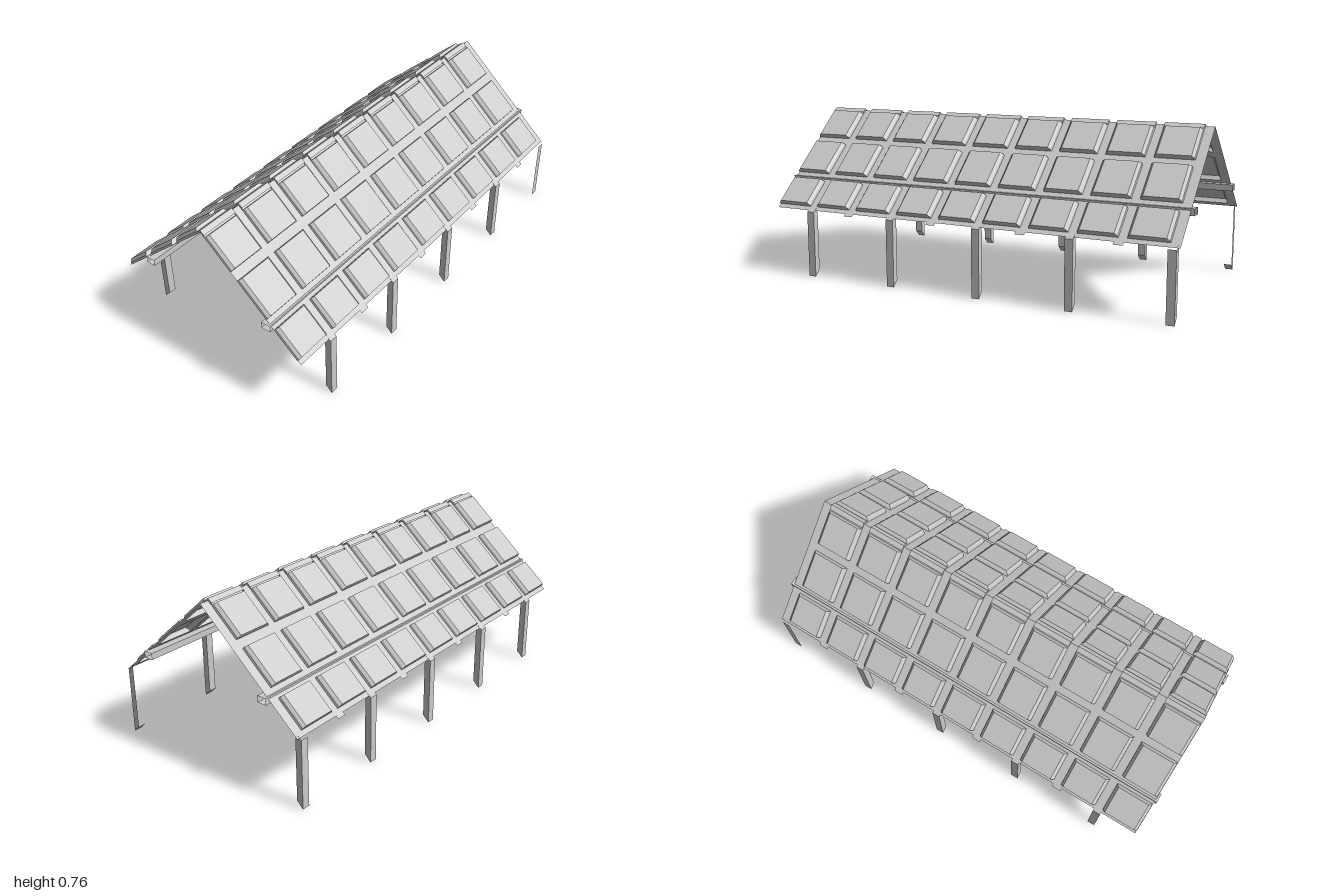
import * as THREE from 'three';

const grey = new THREE.MeshStandardMaterial({ color: 0xcccccc, flatShading: true, side: THREE.DoubleSide });
const oneSided = new THREE.MeshStandardMaterial({ color: 0xcccccc, flatShading: true });

const RIDGE_Y = 0.7475, SLOPE = 0.88;
const COS = 1 / Math.hypot(1, SLOPE), SIN = SLOPE * COS;
const COLUMNS = Array.from({ length: 9 }, (_, i) => 0.9 - 0.219 * i);   // panel centres in z
const ROWS = [[0.0266, 0.195], [0.2385, 0.4276], [0.478, 0.63]];        // panel spans down the slope
const POSTS = Array.from({ length: 5 }, (_, i) => 0.793 - 0.437 * i);

function add(parent, name, geometry, material = grey) {
  const mesh = new THREE.Mesh(geometry, material);
  mesh.name = name;
  parent.add(mesh);
  return mesh;
}

// Quads given as lists of four corners, counter-clockwise from the front
function quads(list) {
  const pos = [];
  for (const [a, b, c, d] of list) pos.push(...a, ...b, ...c, ...a, ...c, ...d);
  const g = new THREE.BufferGeometry();
  g.setAttribute('position', new THREE.Float32BufferAttribute(pos, 3));
  g.computeVertexNormals();
  return g;
}

// Hollow raised panel: upright walls, bevelled shoulders, flat top
function panelGeometry(z, s0, s1) {
  const ring = (w, inset, h) => [
    [z - w, s0 + inset, h], [z + w, s0 + inset, h], [z + w, s1 - inset, h], [z - w, s1 - inset, h]];
  const rings = [ring(0.09, 0, 0), ring(0.088, 0, 0.01), ring(0.076, 0.002, 0.023)];
  const faces = [rings[2]];
  for (let r = 0; r < 2; r++)
    for (let i = 0; i < 4; i++) {
      const j = (i + 1) % 4;
      faces.push([rings[r][i], rings[r][j], rings[r + 1][j], rings[r + 1][i]]);
    }
  return quads(faces);
}

function rectangle(shape, x0, x1, y0, y1) {
  shape.moveTo(x0, y0);
  shape.lineTo(x1, y0);
  shape.lineTo(x1, y1);
  shape.lineTo(x0, y1);
  shape.closePath();
  return shape;
}

// One slope, drawn flat: local x runs along the ridge, y down the slope, z outward
function createSlope() {
  const slope = new THREE.Group();
  slope.name = 'roofSlope';
  const m = new THREE.Matrix4().makeBasis(
    new THREE.Vector3(0, 0, 1), new THREE.Vector3(COS, -SIN, 0), new THREE.Vector3(SIN, COS, 0));
  m.setPosition(0, RIDGE_Y, 0);
  m.decompose(slope.position, slope.quaternion, slope.scale);

  const sheet = rectangle(new THREE.Shape(), -0.985, 0.988, 0, 0.653);
  for (const z of COLUMNS)
    for (const [s0, s1] of ROWS) {
      sheet.holes.push(rectangle(new THREE.Path(), z - 0.09, z + 0.09, s0, s1));
      add(slope, 'roofPanel', panelGeometry(z, s0, s1));
    }
  add(slope, 'roofSheet', new THREE.ShapeGeometry(sheet));

  // Rib ends below the eave, between the posts
  for (let i = 0; i < 4; i++) {
    const z = POSTS[i] - 0.2125;
    add(slope, 'ribEnd', new THREE.ShapeGeometry(rectangle(new THREE.Shape(), z - 0.022, z + 0.022, 0.64, 0.668)));
  }
  return slope;
}

function createSide() {
  const side = new THREE.Group();
  side.name = 'side';
  side.add(createSlope());

  // Ridge cap pieces over each column of panels
  for (const z of COLUMNS) {
    const a = z - 0.09, b = z + 0.09;
    add(side, 'ridgeCap', quads([
      [[0, 0.757, a], [0, 0.757, b], [0.02, 0.742, b], [0.02, 0.742, a]],
      [[0, 0.757, b], [0, 0.7475, b], [0.02, 0.73, b], [0.02, 0.742, b]],
      [[0, 0.7475, a], [0, 0.757, a], [0.02, 0.742, a], [0.02, 0.73, a]]]));
  }

  // Long purlin: open-ended box tube
  const tube = [[0.303, 0.42], [0.347, 0.42], [0.347, 0.45], [0.303, 0.45]];
  add(side, 'purlin', quads(tube.map(([x, y], i) => {
    const [u, v] = tube[(i + 1) % 4];
    return [[x, y, 1], [x, y, -1], [u, v, -1], [u, v, 1]];
  })));

  // Posts with slanted feet and tops; the last is an open angle
  const profile = [[0.5, 0], [0.5, 0.31], [0.47, 0.334], [0.47, 0.03]];
  POSTS.forEach((z, k) => {
    const f = z + 0.0185, b = z - 0.0185;
    const at = (i, d) => [...profile[i % 4], d];
    const wall = i => [at(i, f), at(i, b), at(i + 1, b), at(i + 1, f)];
    const faces = [wall(0), wall(3), [at(0, b), at(3, b), at(2, b), at(1, b)]];
    if (k < 4) faces.push(wall(1), wall(2), [at(0, f), at(1, f), at(2, f), at(3, f)]);
    add(side, 'post', quads(faces), oneSided);
  });
  return side;
}

export function createModel() {
  const model = new THREE.Group();
  model.name = 'openShelter';
  const left = createSide(), right = createSide();
  left.name = 'leftSide';
  right.name = 'rightSide';
  right.scale.x = -1;
  model.add(left, right);
  return model;
}
